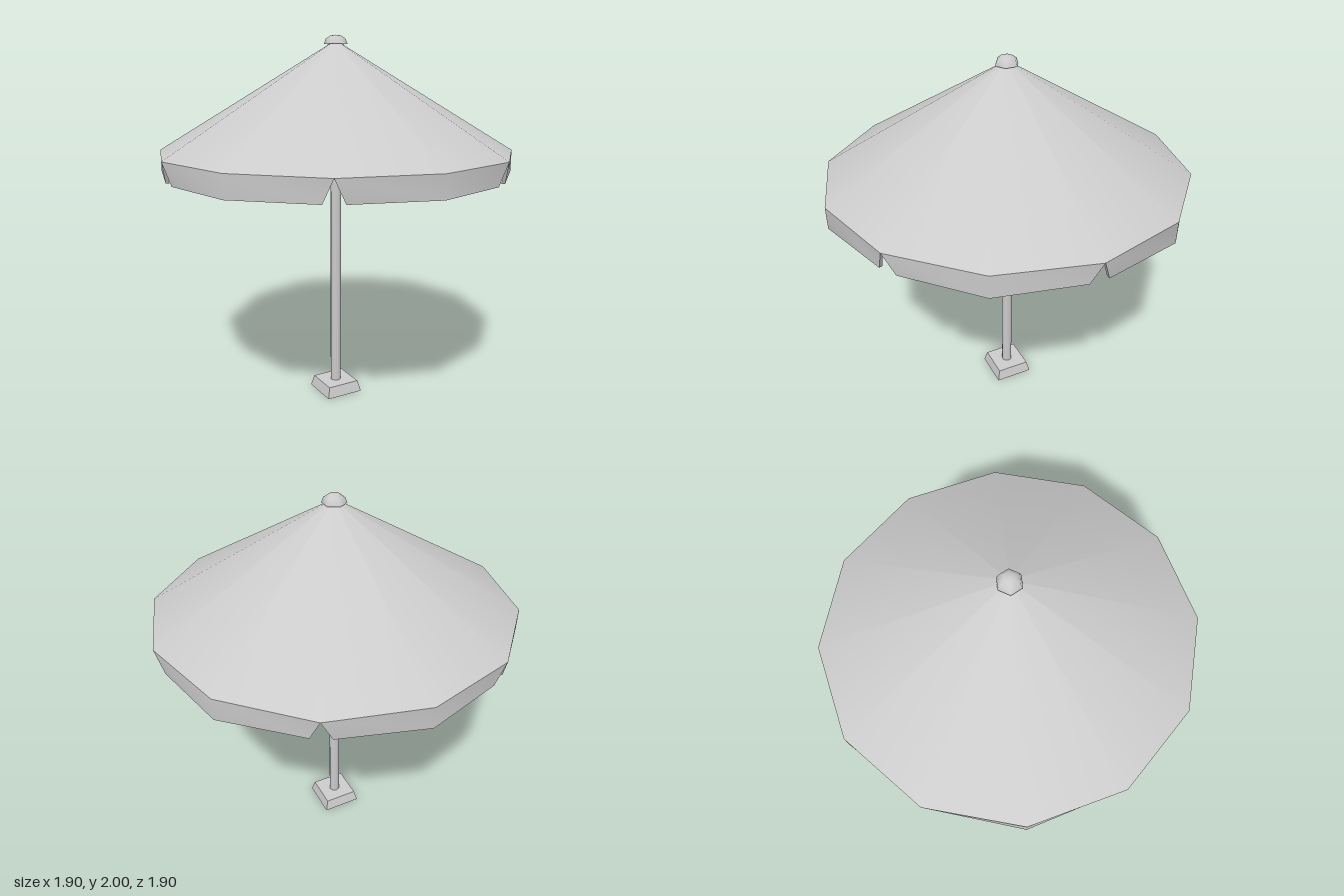
import * as THREE from 'three';
import { toCreasedNormals } from 'three/addons/utils/BufferGeometryUtils.js';

const material = new THREE.MeshStandardMaterial({ color: 0xcccccc });

function addMesh(group, name, geometry) {
  const mesh = new THREE.Mesh(geometry, material);
  mesh.name = name;
  group.add(mesh);
  return mesh;
}

// Faceted lathe from [radius, y] pairs, listed from the underside outward and up
function turned(profile, sides, crease = 0.7) {
  const points = profile.map(([r, y]) => new THREE.Vector2(r, y));
  return toCreasedNormals(new THREE.LatheGeometry(points, sides), crease);
}

// Thin hanging flap spanning two canopy sides, with slanted ends
function valanceGeometry() {
  const R = 0.95, top = 1.4, bottom = 1.285, thick = 0.018;
  const endRadius = Math.hypot(0.92, 0.05), slant = Math.atan2(0.05, 0.92);
  const half = Math.PI / 6;
  const at = (r, a, y) => [r * Math.sin(a), y, r * Math.cos(a)];
  const sections = [
    [-half, -half + slant, endRadius],
    [0, 0, R],
    [half, half - slant, endRadius],
  ];
  const positions = [], index = [];
  for (const [aTop, aBottom, rBottom] of sections) {
    positions.push(
      ...at(R, aTop, top), ...at(rBottom, aBottom, bottom),
      ...at(rBottom - thick, aBottom, bottom), ...at(R - thick, aTop, top));
  }
  for (let s = 0; s < 2; s++) {
    for (let k = 0; k < 4; k++) {
      const a = s * 4 + k, b = s * 4 + (k + 1) % 4;
      index.push(a, b, b + 4, a, b + 4, a + 4);
    }
  }
  index.push(0, 3, 2, 0, 2, 1, 8, 9, 10, 8, 10, 11);
  const geometry = new THREE.BufferGeometry();
  geometry.setAttribute('position', new THREE.Float32BufferAttribute(positions, 3));
  geometry.setIndex(index);
  return toCreasedNormals(geometry, 0.7);
}

export function createModel() {
  const group = new THREE.Group();
  group.name = 'parasol';

  // Twelve-sided canopy shell
  addMesh(group, 'canopy',
    turned([[0, 1.952], [0.932, 1.392], [0.95, 1.4], [0, 1.973]], 12));

  // Six flaps with a notch at every second canopy corner
  const flap = valanceGeometry();
  const valance = new THREE.Group();
  valance.name = 'valance';
  for (let i = 0; i < 6; i++) {
    addMesh(valance, 'valanceFlap', flap).rotation.y = i * Math.PI / 3;
  }
  group.add(valance);

  // Domed cap on the peak
  addMesh(group, 'finial',
    turned([[0, 1.953], [0.062, 1.953], [0.052, 1.98], [0.028, 1.996], [0, 2]], 6, 1.1));

  // Pole
  const pole = addMesh(group, 'pole', new THREE.CylinderGeometry(0.03, 0.03, 1.94, 8));
  pole.position.y = 0.99;

  // Square tapered foot, hollow underneath
  const q = Math.SQRT2;
  const foot = addMesh(group, 'foot', turned([
    [0, 0.045], [0.07 * q, 0.045], [0.1 * q, 0], [0.107 * q, 0], [0.092 * q, 0.06], [0, 0.06],
  ], 4, 0.3));
  foot.rotation.y = Math.PI / 4;

  return group;
}
